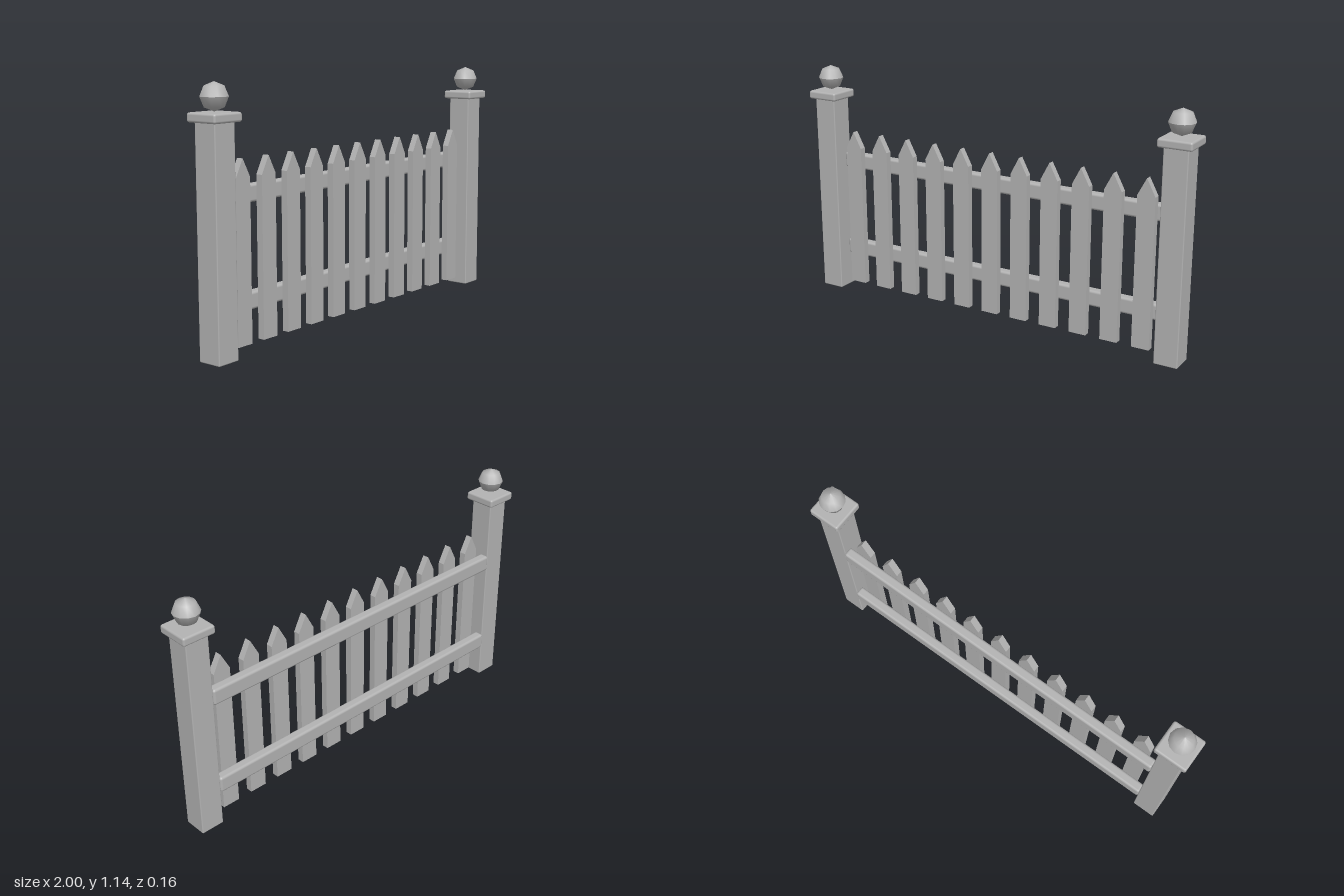
import * as THREE from 'three';
import { RoundedBoxGeometry } from 'three/addons/geometries/RoundedBoxGeometry.js';

export function createModel() {
  const fence = new THREE.Group();
  fence.name = 'picketFence';
  const paint = new THREE.MeshStandardMaterial({ color: 0xb2b2b2 });
  paint.name = 'grey paint';

  function add(name, geometry, x, y, z, parent = fence) {
    const mesh = new THREE.Mesh(geometry, paint);
    mesh.name = name;
    mesh.position.set(x, y, z);
    parent.add(mesh);
    return mesh;
  }

  // Ball halves, kept separate so the equator stays a sharp edge
  const R = 0.06;
  const dome = (a0) => new THREE.LatheGeometry(
    [0, 1, 2].map((i) => {
      const a = a0 + (i * Math.PI) / 4;
      return new THREE.Vector2(Math.max(0, R * Math.cos(a)), R * Math.sin(a));
    }), 12);
  const lowerDome = dome(-Math.PI / 2);
  const upperDome = dome(0);

  // End posts with cap and ball finial
  const postGeo = new RoundedBoxGeometry(0.113, 0.99, 0.113, 2, 0.005);
  const capGeo = new RoundedBoxGeometry(0.158, 0.04, 0.158, 2, 0.01);
  for (const side of [-1, 1]) {
    const post = new THREE.Group();
    post.name = side < 0 ? 'rightPost' : 'leftPost';
    post.position.x = side * 0.921;
    add('postShaft', postGeo, 0, 0.495, 0, post);
    add('postCap', capGeo, 0, 1.001, 0, post);
    add('finialLower', lowerDome, 0, 1.083, 0, post);
    add('finialUpper', upperDome, 0, 1.083, 0, post);
    fence.add(post);
  }

  // Horizontal rails behind the pickets
  const railGeo = new RoundedBoxGeometry(1.732, 0.077, 0.048, 2, 0.012);
  add('lowerRail', railGeo, 0, 0.209, -0.039);
  add('upperRail', railGeo, 0, 0.668, -0.039);

  // Pointed pickets
  const w = 0.0425;
  const outline = new THREE.Shape([
    new THREE.Vector2(-w, 0.037),
    new THREE.Vector2(w, 0.037),
    new THREE.Vector2(w, 0.745),
    new THREE.Vector2(0, 0.825),
    new THREE.Vector2(-w, 0.745),
  ]);
  const picketGeo = new THREE.ExtrudeGeometry(outline, { depth: 0.032, bevelEnabled: false });
  for (let i = -5; i <= 5; i++) add('picket', picketGeo, i * 0.1565, 0, -0.015);

  return fence;
}
